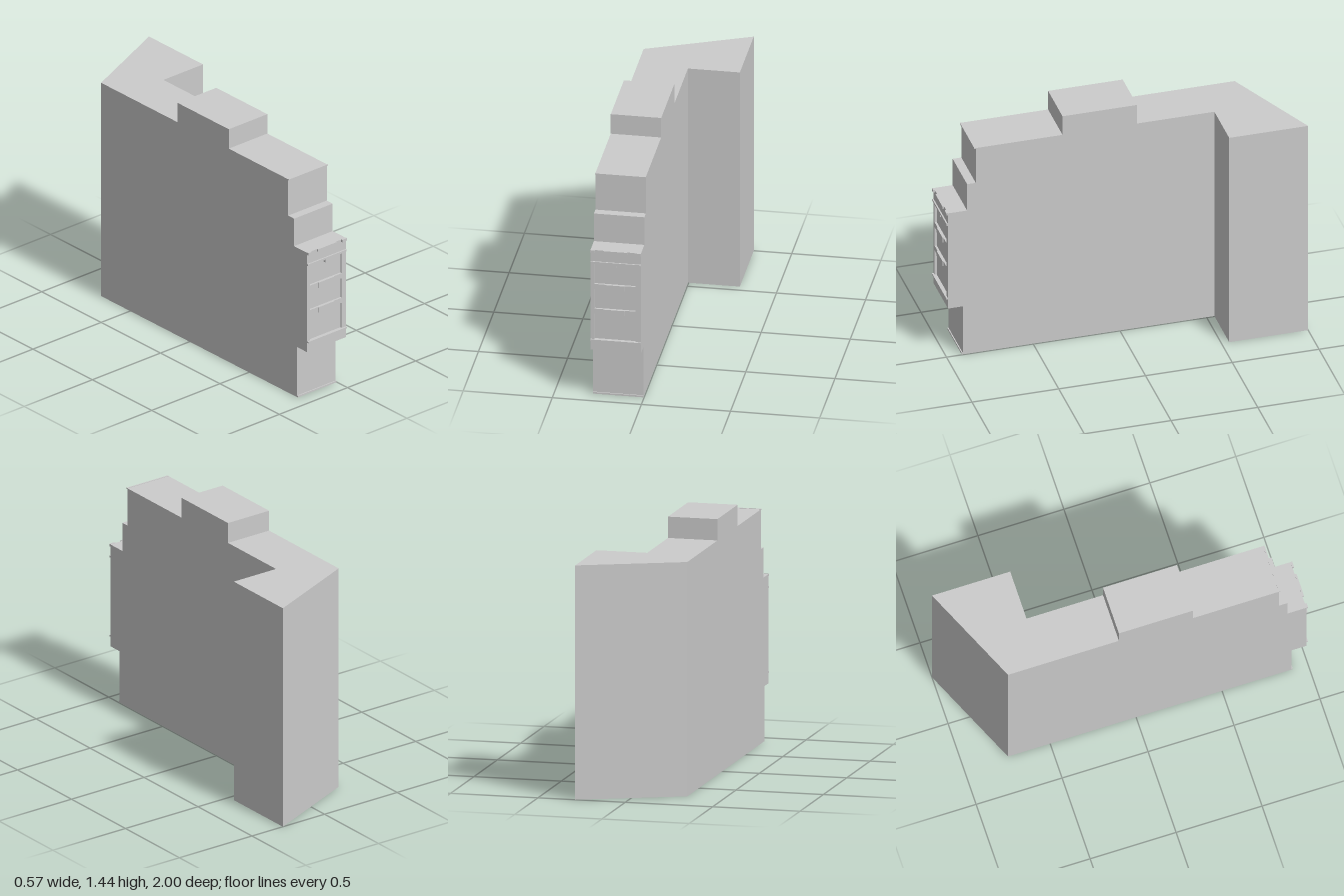
import * as THREE from 'three';
import { mergeGeometries } from 'three/addons/utils/BufferGeometryUtils.js';

const XL = -0.287, XM = -0.004, XR = 0.287; // outer wall, party wall, wing wall
const H = 1.32, WING_Z = -0.545, BACK_L = -0.745, BACK_R = -1, BAY_Z = 0.978, FACE_Z = 0.99;

const material = new THREE.MeshStandardMaterial({ color: 0xcccccc, side: THREE.DoubleSide, flatShading: true });

function add(group, name, geometry) {
  const mesh = new THREE.Mesh(geometry, material);
  mesh.name = name;
  group.add(mesh);
  return mesh;
}

// Four corners, counter-clockwise seen from outside
function quad(a, b, c, d) {
  const g = new THREE.BufferGeometry();
  g.setAttribute('position', new THREE.Float32BufferAttribute([a, b, c, d].flat(), 3));
  g.setIndex([0, 1, 2, 0, 2, 3]);
  g.computeVertexNormals();
  return g;
}

const toShape = pts => new THREE.Shape(pts.map(([x, y]) => new THREE.Vector2(x, y)));

// Flat side wall from (z, y) points, facing side * x
function sideWall(pts, x, side) {
  const g = new THREE.ShapeGeometry(toShape(pts.map(([z, y]) => [-side * z, y])));
  return g.rotateY(side * Math.PI / 2).translate(x, 0, 0);
}

function box(x0, x1, y0, y1, z0, z1) {
  return new THREE.BoxGeometry(x1 - x0, y1 - y0, z1 - z0)
    .translate((x0 + x1) / 2, (y0 + y1) / 2, (z0 + z1) / 2);
}

function rectPath(x0, x1, y0, y1) {
  return toShape([[x0, y0], [x1, y0], [x1, y1], [x0, y1]]);
}

export function createModel() {
  const model = new THREE.Group();
  model.name = 'townhouse';

  // Stepped profile as (z, y), from the street up over the rooftop block
  const profile = [
    [0.905, 0], [0.905, 0.31], [BAY_Z, 0.31], [BAY_Z, 0.925], [0.88, 0.925], [0.88, 1.095],
    [0.83, 1.095], [0.83, H], [0.33, H], [0.33, 1.44], [-0.1, 1.44], [-0.1, H],
  ];

  // Front faces, setbacks and roofs
  const strips = profile.slice(1).map(([z, y], i) => {
    const [pz, py] = profile[i];
    return quad([XL, py, pz], [XM, py, pz], [XM, y, z], [XL, y, z]);
  });
  add(model, 'steppedFrontAndRoof', mergeGeometries(strips));

  // Side walls; the base is left open
  add(model, 'outerSideWall', sideWall([...profile, [BACK_L, H], [BACK_L, 0]], XL, -1));
  add(model, 'innerSideWall', sideWall([...profile, [WING_Z, H], [WING_Z, 0]], XM, 1));

  // Rear roof, spanning main block and wing
  const plan = [[XL, -0.1], [XM, -0.1], [XM, WING_Z], [XR, WING_Z], [XR, BACK_R], [XL, BACK_L]];
  add(model, 'rearRoof', new THREE.ShapeGeometry(toShape(plan.map(([x, z]) => [x, -z])))
    .rotateX(-Math.PI / 2).translate(0, H, 0));

  // Wing front, wing side and slanted back wall
  ['wingFrontWall', 'wingSideWall', 'slantedBackWall'].forEach((name, i) => {
    const [ax, az] = plan[i + 2], [bx, bz] = plan[i + 3];
    add(model, name, quad([ax, 0, az], [bx, 0, bz], [bx, H, bz], [ax, H, az]));
  });

  // Projecting bay face with three recessed windows
  const bay = rectPath(XL, XM, 0.31, 0.925);
  for (const [y0, y1] of [[0.377, 0.533], [0.564, 0.684], [0.716, 0.838]])
    bay.holes.push(rectPath(-0.265, -0.034, y0, y1));
  add(model, 'bayFace', new THREE.ExtrudeGeometry(bay, { depth: FACE_Z - BAY_Z, bevelEnabled: false })
    .translate(0, 0, BAY_Z));

  // Panels between windows and the keystone
  for (const [y0, y1] of [[0.533, 0.564], [0.684, 0.716]])
    add(model, 'spandrelPanel', box(-0.209, -0.095, y0, y1, FACE_Z, 0.995));
  add(model, 'keystone', box(-0.156, -0.143, 0.823, 0.845, BAY_Z, 0.995));

  // Thin horizontal mouldings
  for (const [name, y0, y1, z0, z1] of [
    ['plinth', 0, 0.01, 0.905, 0.911],
    ['sillMoulding', 0.368, 0.377, FACE_Z, 1],
    ['lintelMoulding', 0.845, 0.856, FACE_Z, 0.998],
    ['roofEdge', 1.315, 1.322, 0.83, 0.839],
  ]) add(model, name, box(XL, XM, y0, y1, z0, z1));

  // Bay cornice, broken by two gaps
  for (const [x0, x1] of [[XL, -0.262], [-0.216, -0.08], [-0.038, XM]])
    add(model, 'corniceSegment', box(x0, x1, 0.912, 0.927, FACE_Z, 1));

  return model;
}
